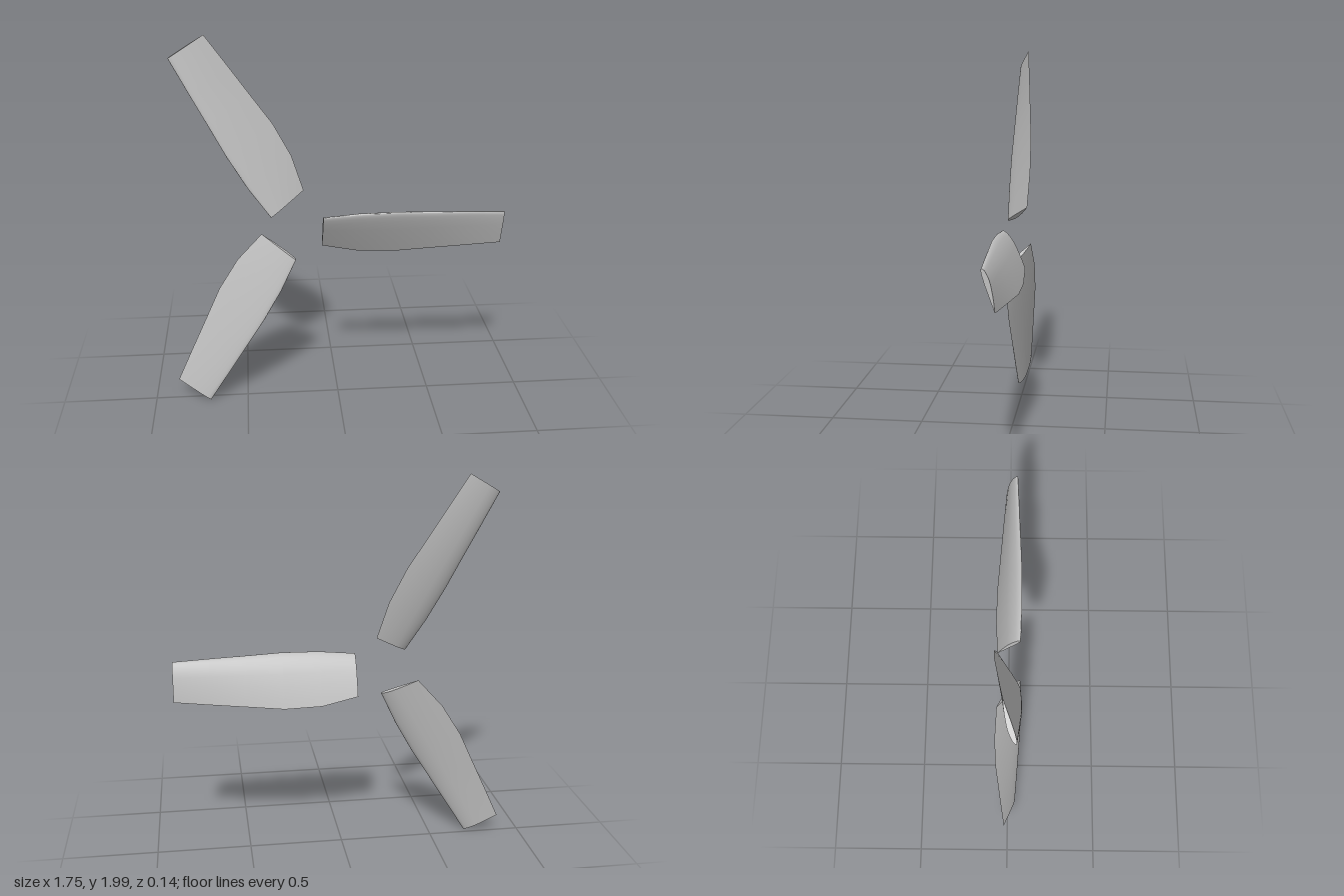
import * as THREE from 'three';
import { toCreasedNormals } from 'three/addons/utils/BufferGeometryUtils.js';

// Blade sections: radius, then leading and trailing edge as [across, depth]
const STATIONS = [
  [0.138, [0.072, 0.062], [-0.13, -0.06]],
  [0.33, [0.089, 0.066], [-0.171, -0.07]],
  [0.525, [0.092, 0.065], [-0.178, -0.066]],
  [0.715, [0.085, 0.057], [-0.161, -0.051]],
  [0.905, [0.079, 0.049], [-0.145, -0.036]],
  [1.093, [0.072, 0.04], [-0.128, -0.02]],
];

// Airfoil as [fraction of chord, height / chord]: back surface, then front surface
const AIRFOIL = [
  [0, 0], [0.003, 0.013], [0.0125, 0.026], [0.05, 0.05], [0.1, 0.067], [0.2, 0.085],
  [0.3, 0.092], [0.4, 0.09], [0.6, 0.07], [0.8, 0.04], [1, 0],
  [0.7, -0.016], [0.4, -0.032], [0.2, -0.036], [0.1, -0.032], [0.05, -0.027],
  [0.0125, -0.016], [0.003, -0.009],
];

// Loft of twisted airfoil sections along +x, closed at both ends
function bladeGeometry() {
  const n = AIRFOIL.length;
  const positions = [];
  const index = [];
  for (const [r, lead, trail] of STATIONS) {
    const dy = trail[0] - lead[0];
    const dz = trail[1] - lead[1];
    for (const [u, h] of AIRFOIL) {
      positions.push(r, lead[0] + u * dy - h * dz, lead[1] + u * dz + h * dy);
    }
  }
  const last = (STATIONS.length - 1) * n;
  for (let i = 0; i < last; i += n) {
    for (let j = 0; j < n; j++) {
      const k = (j + 1) % n;
      index.push(i + j, i + n + j, i + k, i + k, i + n + j, i + n + k);
    }
  }
  for (let j = 1; j < n - 1; j++) {
    index.push(0, j, j + 1);
    index.push(last, last + j + 1, last + j);
  }
  const geometry = new THREE.BufferGeometry();
  geometry.setAttribute('position', new THREE.Float32BufferAttribute(positions, 3));
  geometry.setIndex(index);
  return toCreasedNormals(geometry, 0.9);
}

export function createModel() {
  const model = new THREE.Group();
  model.name = 'rotorBlades';
  const bladeGrey = new THREE.MeshStandardMaterial({ color: 0xbfbfbf });
  bladeGrey.name = 'bladeGrey';
  const geometry = bladeGeometry();

  // Three blades evenly spaced around the rotor axis
  for (let i = 0; i < 3; i++) {
    const blade = new THREE.Mesh(geometry, bladeGrey);
    blade.name = `blade${i + 1}`;
    blade.position.set(-0.218, 0.988, 0);
    blade.rotation.z = (i * 2 * Math.PI) / 3;
    model.add(blade);
  }
  return model;
}
